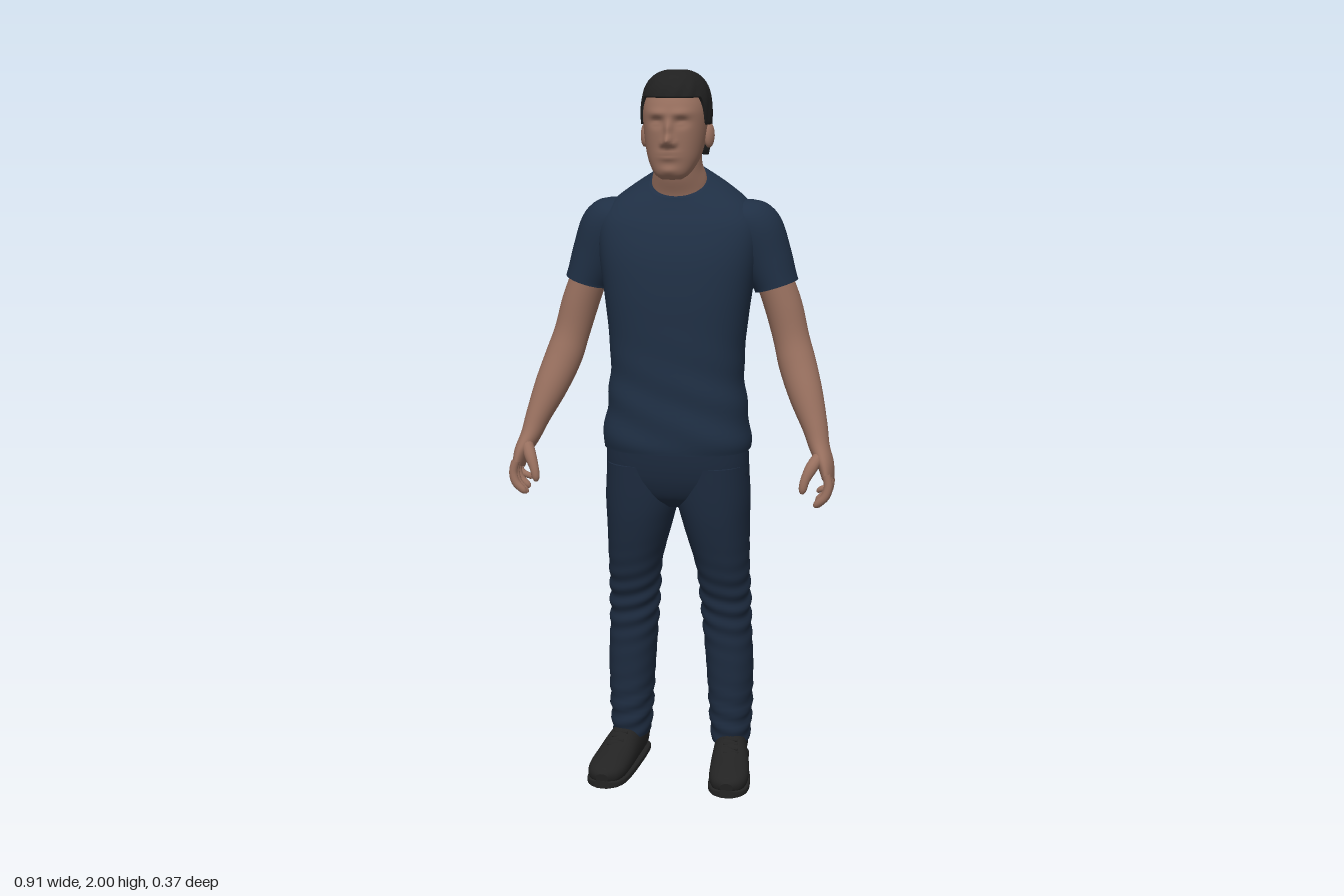
import * as THREE from 'three';

const mat = (name, color) => Object.assign(new THREE.MeshStandardMaterial({ color }), { name });
const V = (x, y, z) => new THREE.Vector3(x, y, z);
const gauss = (x, y, cx, cy, sx, sy) => Math.exp(-(((x - cx) / sx) ** 2) - ((y - cy) / sy) ** 2);
const smooth = THREE.MathUtils.smoothstep;

// Smoothly resample a list of numeric cross-sections
function resample(rows, steps) {
  const out = [];
  const at = (i) => rows[Math.max(0, Math.min(rows.length - 1, i))];
  for (let i = 0; i < rows.length - 1; i++) {
    for (let k = 0; k < steps; k++) {
      const t = k / steps;
      out.push(rows[i].map((b, n) => {
        const a = at(i - 1)[n], c = at(i + 1)[n], d = at(i + 2)[n];
        return b + 0.5 * t * (c - a + t * (2 * a - 5 * b + 4 * c - d + t * (3 * (b - c) + d - a)));
      }));
    }
  }
  out.push(rows[rows.length - 1]);
  return out;
}

// Superellipse point: angle 0 is the side, a quarter turn is the front
function oval(j, segs, n) {
  const a = (j / segs) * Math.PI * 2;
  const f = (v) => Math.sign(v) * Math.abs(v) ** (2 / n);
  return [f(Math.cos(a)), f(Math.sin(a))];
}

// Closed surface through rings of points, with flat end caps
function skinRings(rings) {
  const pos = [], idx = [], m = rings[0].length;
  rings.forEach((r) => r.forEach((p) => pos.push(p.x, p.y, p.z)));
  for (let i = 0; i < rings.length - 1; i++) {
    for (let j = 0; j < m; j++) {
      const a = i * m + j, b = i * m + ((j + 1) % m);
      idx.push(a, a + m, b, b, a + m, b + m);
    }
  }
  [rings[0], rings[rings.length - 1]].forEach((r, end) => {
    const c = r.reduce((s, p) => s.add(p), V(0, 0, 0)).divideScalar(m);
    const o = pos.length / 3;
    [c, ...r].forEach((p) => pos.push(p.x, p.y, p.z));
    for (let j = 0; j < m; j++) {
      const a = o + 1 + j, b = o + 1 + ((j + 1) % m);
      idx.push(o, end ? b : a, end ? a : b);
    }
  });
  const g = new THREE.BufferGeometry();
  g.setAttribute('position', new THREE.Float32BufferAttribute(pos, 3));
  g.setIndex(idx);
  g.computeVertexNormals();
  return g;
}

// Upright loft; sections: [y, halfWidth, zFront, zBack, tilt, xCentre], bottom to top
function upright(rows, { n = 2.3, segs = 48, steps = 6, warp } = {}) {
  return skinRings(resample(rows, steps).map(([y, rx, zf, zb, tilt = 0, x = 0]) =>
    Array.from({ length: segs }, (_, j) => {
      const [c, s] = oval(j, segs, n), dz = (s * (zf - zb)) / 2;
      const p = V(x + c * rx, y + tilt * dz, (zf + zb) / 2 + dz);
      if (warp) warp(p, c, s);
      return p;
    })));
}

// Limb loft along a path; sections: [x, y, z, radiusAcross, radiusAlongRef]
function limb(rows, { n = 2, segs = 24, steps = 6, ref = V(0, 0, 1) } = {}) {
  const r = resample(rows, steps);
  const pt = (i) => V(...r[Math.max(0, Math.min(r.length - 1, i))].slice(0, 3));
  return skinRings(r.map((row, i) => {
    const t = pt(i + 1).sub(pt(i - 1)).normalize();
    const v = ref.clone().addScaledVector(t, -ref.dot(t)).normalize();
    const u = t.clone().cross(v);
    return Array.from({ length: segs }, (_, j) => {
      const [c, s] = oval(j, segs, n);
      return pt(i).addScaledVector(u, c * row[3]).addScaledVector(v, s * row[4]);
    });
  }));
}

// Facial relief pushed out along z
function faceWarp(p) {
  if (p.z < 0.02) return;
  const x = Math.abs(p.x), y = p.y;
  p.z += 0.029 * gauss(x, y, 0, 1.815, 0.013, 0.015) + 0.016 * gauss(x, y, 0, 1.847, 0.01, 0.022)
    + 0.008 * gauss(x, y, 0.017, 1.808, 0.007, 0.008)
    + 0.006 * gauss(x, y, 0.03, 1.888, 0.03, 0.011)
    - 0.012 * gauss(x, y, 0.034, 1.864, 0.018, 0.012) + 0.006 * gauss(x, y, 0.034, 1.861, 0.013, 0.006)
    + 0.009 * gauss(x, y, 0, 1.777, 0.026, 0.013) - 0.006 * gauss(x, y, 0, 1.777, 0.024, 0.003)
    + 0.006 * gauss(x, y, 0, 1.737, 0.024, 0.012);
}

// Cap of hair whose lower edge drops from forehead to nape
function hairGeometry() {
  const rings = [], rows = 22, segs = 96;
  for (let i = -1; i <= rows; i++) {
    const t = Math.max(i, 0) / rows;
    rings.push(Array.from({ length: segs }, (_, j) => {
      const [c, s] = oval(j, segs, 2.15);
      const low = 1.77 + 0.085 * smooth(s, -0.45, -0.1) + 0.073 * smooth(s, 0.35, 0.6);
      const y = low + (1.998 - low) * Math.sin((t * Math.PI) / 2);
      const h = (y - 1.88) / 0.12;
      let k = h > 0 ? Math.max(0, 1 - h ** 2.6) ** (1 / 2.6) : 1 + h * 0.1;
      k *= i < 0 ? 0.85 : 1 + 0.012 * Math.sin(j * 0.9 + t * 9) * (1 - t);
      return V(c * 0.096 * k, y, -0.013 + s * 0.116 * k);
    }));
  }
  return skinRings(rings);
}

export function createModel() {
  const skin = mat('skin', 0x976f5e), shirt = mat('shirt navy', 0x1f2f44);
  const denim = mat('denim navy', 0x1d2b3f), hair = mat('hair black', 0x202020), leather = mat('shoe black', 0x232323);
  const model = new THREE.Group();
  model.name = 'standingMan';
  const add = (name, geo, material, parent = model) => {
    const m = new THREE.Mesh(geo, material);
    m.name = name;
    parent.add(m);
    return m;
  };

  // Head and neck
  add('head', upright([
    [1.712, 0.028, 0.085, 0.03], [1.727, 0.048, 0.097, 0], [1.76, 0.067, 0.102, -0.05],
    [1.80, 0.078, 0.104, -0.085], [1.85, 0.085, 0.104, -0.1], [1.89, 0.087, 0.103, -0.108],
    [1.92, 0.083, 0.094, -0.108], [1.95, 0.073, 0.075, -0.1], [1.98, 0.045, 0.04, -0.07],
  ], { segs: 120, steps: 8, n: 2.25, warp: faceWarp }), skin);
  add('neck', upright([
    [1.65, 0.074, 0.008, -0.11, -0.6], [1.70, 0.076, 0.014, -0.11, -0.6], [1.74, 0.066, 0.032, -0.1, -0.4],
    [1.79, 0.064, 0.04, -0.095, -0.2], [1.83, 0.06, 0.03, -0.09, 0],
  ], { n: 2 }), skin);
  add('hair', hairGeometry(), hair);

  // Shirt body, with faint folds at the waist
  add('shirtBody', upright([
    [0.962, 0.205, 0.12, -0.168, 0], [1.0, 0.206, 0.125, -0.168, 0], [1.1, 0.192, 0.12, -0.161, 0],
    [1.2, 0.185, 0.116, -0.163, 0], [1.3, 0.192, 0.114, -0.17, 0], [1.4, 0.205, 0.11, -0.175, 0],
    [1.5, 0.22, 0.095, -0.176, 0], [1.58, 0.224, 0.066, -0.172, 0], [1.635, 0.195, 0.042, -0.16, -0.15],
    [1.674, 0.14, 0.027, -0.143, -0.35], [1.70, 0.082, 0.02, -0.115, -0.63],
  ], {
    n: 2.5, segs: 72, warp: (p, c, s) => {
      const d = 0.003 * Math.sin(p.y * 55 + p.x * 22) * gauss(0, p.y, 0, 1.08, 1, 0.14);
      p.x += c * d;
      p.z += s * d;
    },
  }), shirt);

  // Jeans seat
  add('jeansSeat', upright([
    [0.795, 0.05, 0.03, -0.11], [0.825, 0.15, 0.07, -0.145], [0.87, 0.196, 0.092, -0.157],
    [0.92, 0.2, 0.103, -0.16], [0.975, 0.197, 0.108, -0.158],
  ], { n: 2.5, segs: 64 }), denim);

  for (const s of [1, -1]) {
    const side = new THREE.Group();
    side.name = s > 0 ? 'leftSide' : 'rightSide';
    model.add(side);
    const flip = (rows) => rows.map(([x, ...rest]) => [x * s, ...rest]);

    // Ear
    const ear = add('ear', new THREE.SphereGeometry(1, 20, 14), skin, side);
    ear.scale.set(0.013, 0.034, 0.021);
    ear.position.set(s * 0.088, 1.825, -0.018);
    ear.rotation.set(-0.2, s * -0.3, 0);

    // Sleeve
    add('sleeve', limb(flip([
      [0.145, 1.615, -0.075, 0.03, 0.05], [0.168, 1.60, -0.075, 0.062, 0.08], [0.2, 1.565, -0.076, 0.083, 0.087],
      [0.236, 1.49, -0.077, 0.074, 0.08], [0.262, 1.43, -0.076, 0.063, 0.074], [0.268, 1.413, -0.076, 0.062, 0.073],
    ]), { segs: 36 }), shirt, side);

    // Arm running into the palm
    add('armAndPalm', limb(flip([
      [0.25, 1.46, -0.077, 0.05, 0.058], [0.287, 1.36, -0.076, 0.052, 0.058], [0.312, 1.27, -0.066, 0.05, 0.052],
      [0.333, 1.2, -0.048, 0.052, 0.052], [0.362, 1.12, -0.015, 0.047, 0.048], [0.392, 1.04, 0.018, 0.035, 0.04],
      [0.408, 0.99, 0.04, 0.028, 0.036], [0.428, 0.945, 0.058, 0.022, 0.046], [0.437, 0.905, 0.07, 0.015, 0.046],
    ]), { segs: 28 }), skin, side);

    // Fingers curl inward, little finger to index
    for (let f = 0; f < 4; f++) {
      const z = 0.035 + f * 0.0235, tip = [0.862, 0.842, 0.832, 0.838][f], r = f ? 0.0118 : 0.01;
      add('finger', limb(flip([
        [0.436, 0.925, z, r, r], [0.442, 0.895, z + 0.004, r, r], [0.434, (0.895 + tip) / 2, z + 0.008, r, r],
        [0.413, tip + 0.008, z + 0.01, r * 0.85, r * 0.85], [0.406, tip, z + 0.01, r * 0.4, r * 0.4],
      ]), { segs: 12, steps: 4 }), skin, side);
    }
    add('thumb', limb(flip([
      [0.416, 0.975, 0.06, 0.016, 0.018], [0.396, 0.945, 0.098, 0.017, 0.017], [0.38, 0.912, 0.115, 0.013, 0.013],
      [0.374, 0.886, 0.12, 0.011, 0.011], [0.373, 0.874, 0.121, 0.005, 0.005],
    ]), { segs: 14, steps: 4 }), skin, side);

    // Trouser leg with creases at knee and ankle
    add('trouserLeg', upright([
      [0.085, 0.054, -0.005, -0.158, 0, 0.147], [0.13, 0.057, 0, -0.163, 0, 0.147], [0.3, 0.066, 0.006, -0.163, 0, 0.144],
      [0.42, 0.068, 0.01, -0.155, 0, 0.137], [0.52, 0.07, 0.022, -0.15, 0, 0.132], [0.62, 0.075, 0.05, -0.149, 0, 0.126],
      [0.74, 0.092, 0.077, -0.154, 0, 0.11], [0.82, 0.102, 0.088, -0.156, 0, 0.102], [0.92, 0.098, 0.095, -0.155, 0, 0.1],
    ].map((r) => r.map((v, i) => (i === 5 ? v * s : v))), {
      segs: 48, steps: 12, warp: (p, c, q) => {
        const w = gauss(0, p.y, 0, 0.5, 1, 0.1) + gauss(0, p.y, 0, 0.17, 1, 0.08);
        const d = 0.004 * w * Math.sin(p.y * 120 + p.z * 28 + s * p.x * 30);
        p.x += c * d;
        p.z += q * d;
      },
    }), denim, side);

    // Shoe upper, sole and laces
    const shoe = [
      [0.148, 0.045, -0.165, 0.022, 0.033], [0.148, 0.06, -0.145, 0.04, 0.056], [0.15, 0.063, -0.08, 0.044, 0.06],
      [0.157, 0.06, -0.02, 0.049, 0.057], [0.167, 0.047, 0.05, 0.055, 0.044], [0.175, 0.038, 0.12, 0.055, 0.034],
      [0.178, 0.033, 0.16, 0.042, 0.026], [0.179, 0.03, 0.177, 0.018, 0.014],
    ];
    const ref = V(0, 1, 0);
    add('shoeUpper', limb(flip(shoe), { n: 2.3, segs: 32, ref }), leather, side);
    add('shoeSole', limb(flip(shoe.map(([x, , z, w]) => [x, 0.011, z, w + 0.003, 0.011])), { n: 5, segs: 32, ref }), leather, side);
    for (let k = 0; k < 4; k++) {
      const lace = add('lace', new THREE.CapsuleGeometry(0.004, 0.036, 4, 8), leather, side);
      lace.position.set(s * (0.161 + k * 0.003), 0.108 - k * 0.0068, 0.008 + k * 0.016);
      lace.rotation.set(0, (k % 2 ? 0.2 : -0.2), Math.PI / 2);
    }
  }
  return model;
}
